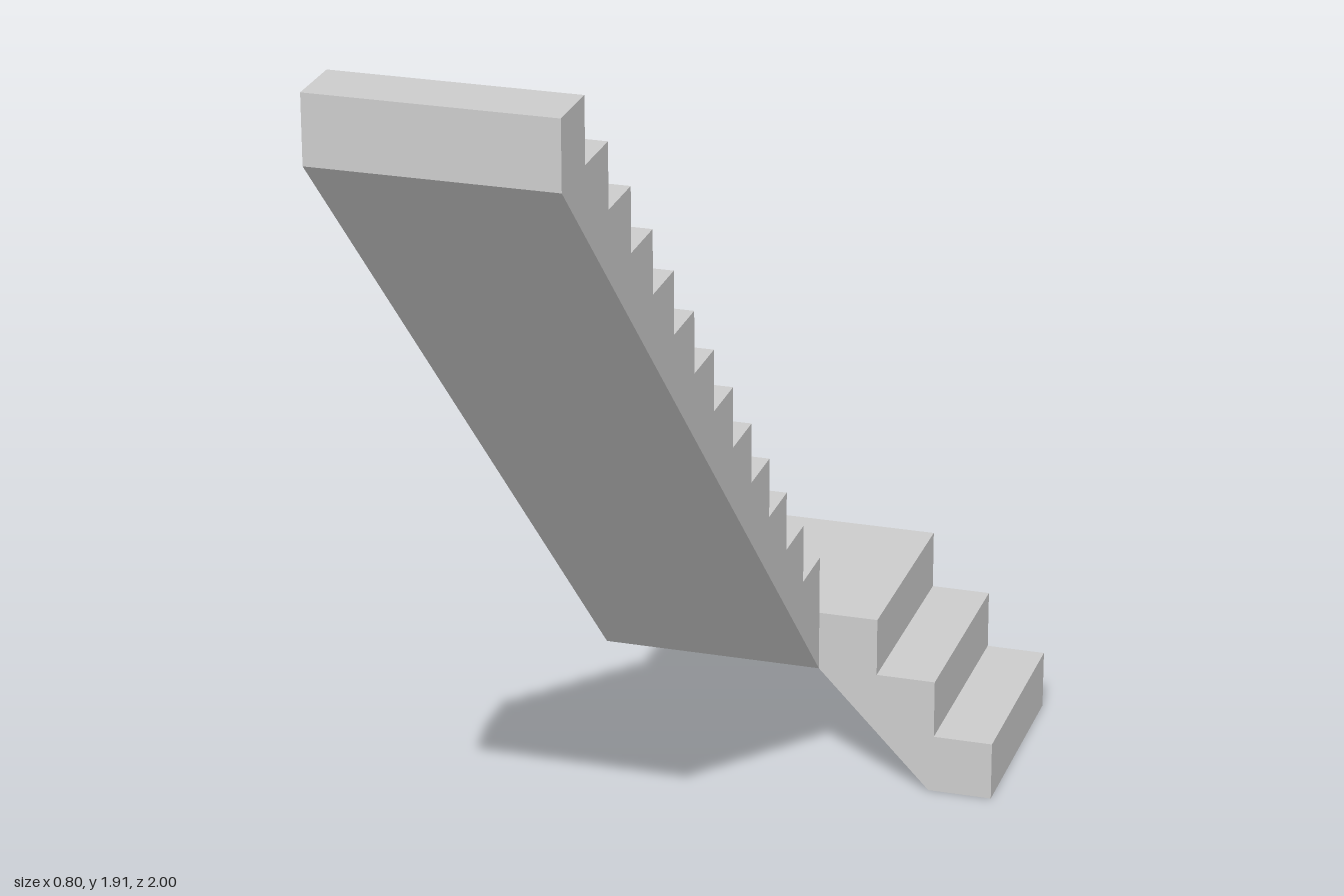
import * as THREE from 'three';

const RISE = 0.1194;
const WIDTH = 0.442;
const INNER_X = 0.042; // inner edge of the landing and the upper flight
const FRONT_Z = -0.556; // front edge of the landing
const LANDING_TOP = RISE * 3;
const LANDING_BOTTOM = 0.237;

const material = new THREE.MeshStandardMaterial({ color: 0xcccccc, flatShading: true });

// Side profile of a flight: steps climbing from (u, y), closed by the soffit points
function flightGeometry(u, y, run, steps, soffit) {
  const points = [new THREE.Vector2(u, y)];
  for (let i = 0; i < steps; i++) {
    const top = y + RISE * (i + 1);
    points.push(new THREE.Vector2(u + run * i, top), new THREE.Vector2(u + run * (i + 1), top));
  }
  for (const [su, sy] of soffit) points.push(new THREE.Vector2(su, sy));
  return new THREE.ExtrudeGeometry(new THREE.Shape(points), { depth: WIDTH, bevelEnabled: false });
}

export function createModel() {
  const group = new THREE.Group();
  group.name = 'staircase';

  const add = (name, geometry) => {
    const mesh = new THREE.Mesh(geometry, material);
    mesh.name = name;
    group.add(mesh);
  };

  // Short flight climbing towards -x
  const lower = flightGeometry(0.398, 0, (INNER_X - 0.398) / 3, 3, [
    [INNER_X, LANDING_BOTTOM],
    [0.27, 0],
  ]);
  lower.translate(0, 0, FRONT_Z - WIDTH);
  add('lowerFlight', lower);

  // Square corner landing
  const thickness = LANDING_TOP - LANDING_BOTTOM;
  const landing = new THREE.BoxGeometry(WIDTH, thickness, WIDTH);
  landing.translate(INNER_X - WIDTH / 2, LANDING_BOTTOM + thickness / 2, FRONT_Z - WIDTH / 2);
  add('landing', landing);

  // Long flight climbing towards +z, profile turned from x to z
  const upper = flightGeometry(FRONT_Z, LANDING_TOP, (1 - FRONT_Z) / 13, 13, [
    [1, 1.784],
    [FRONT_Z, LANDING_BOTTOM],
  ]);
  upper.rotateY(-Math.PI / 2);
  upper.translate(INNER_X, 0, 0);
  add('upperFlight', upper);

  return group;
}
